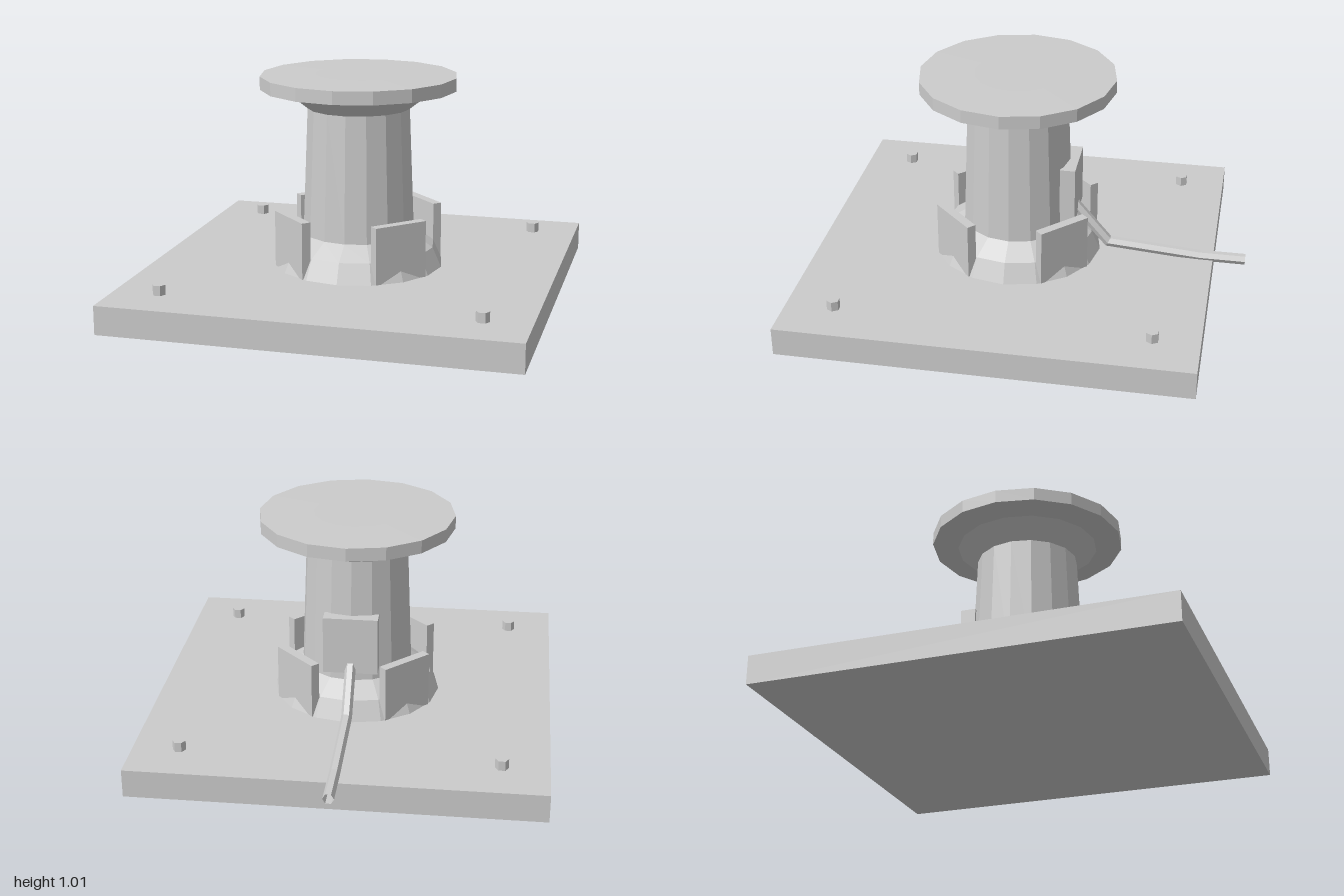
import * as THREE from 'three';

const grey = new THREE.MeshStandardMaterial({ color: 0xcccccc, flatShading: true });
const greyOpen = new THREE.MeshStandardMaterial({ color: 0xcccccc, flatShading: true, side: THREE.DoubleSide });

const PLATE_TOP = 0.13;
const AXIS_Z = 0.075; // the column stands slightly forward of centre

function add(parent, name, geometry, x = 0, y = 0, z = 0, material = grey) {
  const mesh = new THREE.Mesh(geometry, material);
  mesh.name = name;
  mesh.position.set(x, y, z);
  parent.add(mesh);
  return mesh;
}

function lathe(profile) {
  return new THREE.LatheGeometry(profile.map(([r, y]) => new THREE.Vector2(r, y)), 16);
}

// Hollow pipe with mitred bends along a path of [z, y] points in the plane x = 0
function pipeGeometry(path, radius, sides) {
  const pts = path.map(([z, y]) => new THREE.Vector2(z, y));
  const positions = [], index = [];
  pts.forEach((p, i) => {
    const a = pts[Math.max(i - 1, 0)], b = pts[Math.min(i + 1, pts.length - 1)];
    const before = (i ? p.clone().sub(a) : b.clone().sub(p)).normalize();
    const after = (i < pts.length - 1 ? b.clone().sub(p) : p.clone().sub(a)).normalize();
    const dir = before.clone().add(after).normalize();
    const miter = radius / dir.dot(before);
    for (let j = 0; j < sides; j++) {
      const t = (j / sides) * Math.PI * 2;
      const up = Math.sin(t) * miter;
      positions.push(Math.cos(t) * radius, p.y - dir.x * up, p.x + dir.y * up);
      if (i) {
        const k = (j + 1) % sides, r0 = (i - 1) * sides, r1 = i * sides;
        index.push(r0 + j, r1 + j, r1 + k, r0 + j, r1 + k, r0 + k);
      }
    }
  });
  const geometry = new THREE.BufferGeometry();
  geometry.setAttribute('position', new THREE.Float32BufferAttribute(positions, 3));
  geometry.setIndex(index);
  geometry.computeVertexNormals();
  return geometry;
}

export function createModel() {
  const model = new THREE.Group();
  model.name = 'pedestal';

  // Base plate
  add(model, 'basePlate', new THREE.BoxGeometry(1.84, PLATE_TOP, 1.85), 0, PLATE_TOP / 2, 0.075);

  // Hexagonal bolts near the corners
  const bolt = new THREE.CylinderGeometry(0.03, 0.03, 0.045, 6).rotateY(Math.PI / 6);
  for (const x of [-0.71, 0.71])
    for (const z of [-0.64, 0.78]) add(model, 'bolt', bolt, x, PLATE_TOP + 0.0225, z);

  // Flared foot, tapered column and flanged head
  add(model, 'foot', lathe([[0.39, PLATE_TOP], [0.35, 0.22], [0.258, 0.28]]), 0, 0, AXIS_Z);
  add(model, 'column', lathe([[0.258, 0.28], [0.235, 0.86]]), 0, 0, AXIS_Z);
  add(model, 'head', lathe([[0.235, 0.86], [0.33, 0.935], [0.45, 0.95], [0.45, 1.01], [0.2, 1.014], [0, 1.014]]), 0, 0, AXIS_Z);

  // Four upright panels on the diagonals of the foot
  const panel = new THREE.BoxGeometry(0.26, 0.26, 0.043);
  for (let i = 0; i < 4; i++) {
    const angle = Math.PI / 4 + (i * Math.PI) / 2, d = 0.348;
    const mesh = add(model, 'footPanel', panel, Math.sin(angle) * d, PLATE_TOP + 0.13, AXIS_Z + Math.cos(angle) * d);
    mesh.rotation.y = angle;
  }

  // Junction box on the back of the column, with its cable pipe
  add(model, 'junctionBox', new THREE.BoxGeometry(0.25, 0.27, 0.07), 0, 0.465, -0.175);
  add(model, 'cablePipe', pipeGeometry([[-0.19, 0.37], [-0.355, 0.177], [-0.79, 0.143], [-1, 0.143]], 0.025, 6), 0, 0, 0, greyOpen);

  return model;
}
